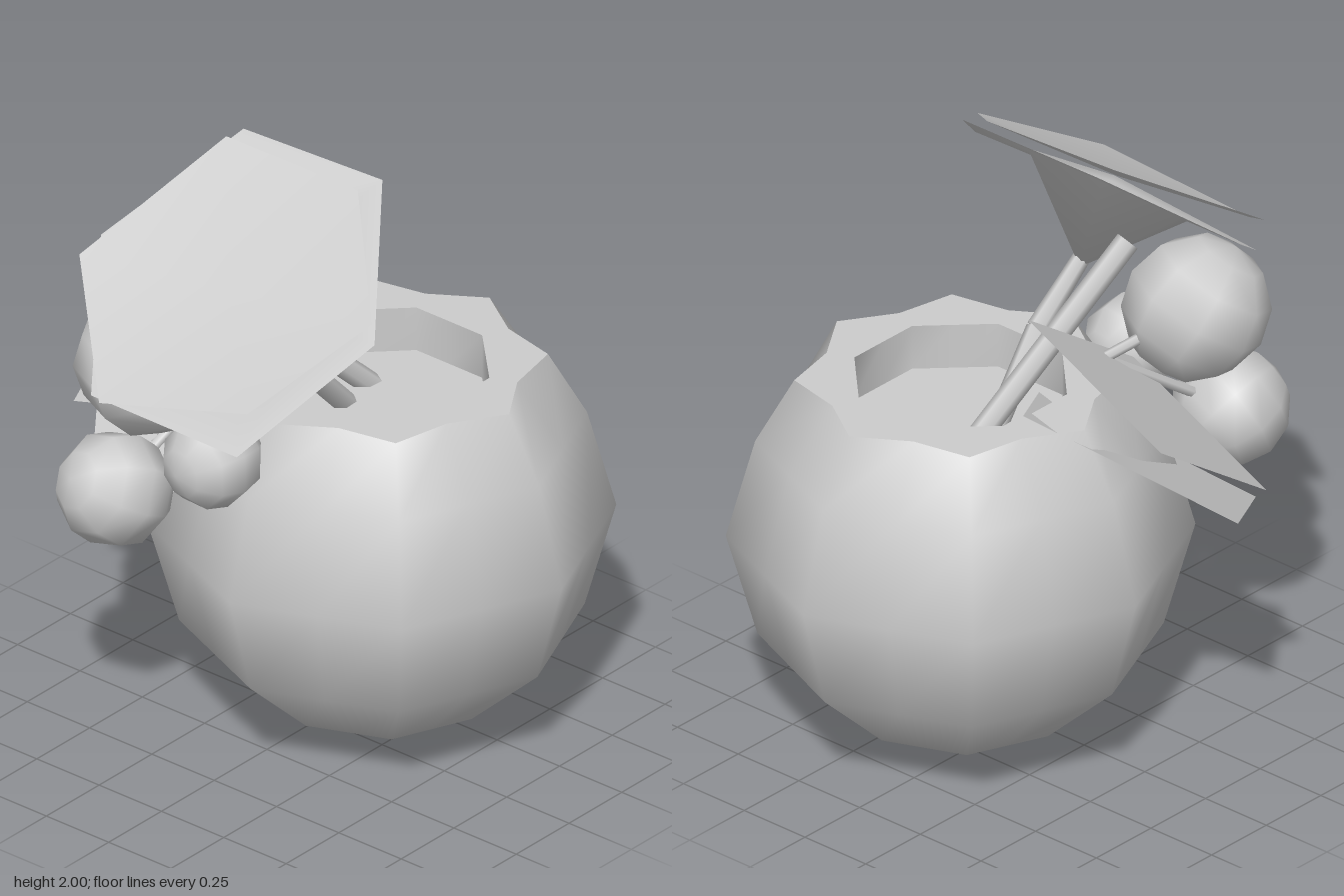
import * as THREE from 'three';
import { mergeVertices } from 'three/addons/utils/BufferGeometryUtils.js';

const V = (x, y, z) => new THREE.Vector3(x, y, z);
const solid = new THREE.MeshStandardMaterial({ color: 0xcccccc });
const thin = new THREE.MeshStandardMaterial({ color: 0xcccccc, side: THREE.DoubleSide });

// Smooth skin through closed rings of equal point count
function loft(rings) {
  const n = rings[0].length, index = [];
  for (let k = 0; k < rings.length - 1; k++) {
    for (let i = 0; i < n; i++) {
      const a = k * n + i, b = k * n + (i + 1) % n;
      index.push(b, a, a + n, b, a + n, b + n);
    }
  }
  let geo = new THREE.BufferGeometry().setFromPoints(rings.flat());
  geo.setIndex(index);
  geo = mergeVertices(geo, 1e-4);
  geo.computeVertexNormals();
  return geo;
}

// Sixteen-point ring around the bowl axis; corner and mid-side radii differ
function bowlRing(y, corner, mid = corner * 0.924) {
  return Array.from({ length: 16 }, (_, i) => {
    const a = i * Math.PI / 8, r = i % 2 ? mid : corner;
    return V(0.11 + r * Math.cos(a), y, -0.165 + r * Math.sin(a));
  });
}

export function createModel() {
  const group = new THREE.Group();
  const add = (name, geo, mat = solid) => {
    const mesh = new THREE.Mesh(geo, mat);
    mesh.name = name;
    group.add(mesh);
    return mesh;
  };
  // Straight rod between two points
  const rod = (name, a, b, r0, r1 = r0) => {
    const mesh = add(name, new THREE.CylinderGeometry(r1, r0, a.distanceTo(b), 6));
    mesh.position.copy(a).lerp(b, 0.5);
    mesh.quaternion.setFromUnitVectors(V(0, 1, 0), b.clone().sub(a).normalize());
  };

  // Round bowl: outer shell, star-edged rim, hollow and drink surface
  const rim = bowlRing(1.23, 0.51, 0.435);
  const lip = bowlRing(1.23, 0.319, 0.345);
  const floor = bowlRing(1.08, 0.319, 0.345);
  add('bowlShell', loft([
    bowlRing(0, 0), bowlRing(0.1, 0.36), bowlRing(0.345, 0.623),
    bowlRing(0.69, 0.72), bowlRing(1.02, 0.63), rim,
  ]));
  add('bowlRim', loft([rim, lip]));
  add('bowlHollow', loft([lip, floor]));
  add('drinkSurface', loft([floor, bowlRing(1.08, 0)]));

  // Cluster of three berries on thin stems
  const node = V(-0.2, 1.28, 0.14);
  const berries = [
    [V(-0.29, 1.355, 0.47), 0.232],
    [V(-0.31, 0.96, 0.605), 0.186],
    [V(-0.015, 1.125, 0.49), 0.158],
  ];
  berries.forEach(([p, r], i) => {
    const berry = add('berry', new THREE.SphereGeometry(r, 8, 6));
    berry.position.copy(p);
    berry.rotation.set(0.5 + i * 0.4, i * 0.6, 0.3);
    rod('berryStem', node, p, 0.018);
  });

  // Two straws leaning forward out of the bowl
  rod('longStraw', V(-0.01, 1.06, -0.26), V(-0.16, 1.61, 0.3), 0.038);
  const bend = V(0.05, 1.3, 0.12), tip = V(0.025, 1.49, 0.3);
  rod('parasolStemLower', V(0.01, 1.06, -0.12), bend, 0.036);
  rod('parasolStemUpper', bend, tip, 0.036, 0.028);

  // Tilted six-sided parasol: flared cone below a shallow sheet
  const under = [
    V(-0.28, 1.99, 0.03), V(0.26, 2.0, 0.01), V(0.55, 1.69, 0.39),
    V(0.37, 1.42, 0.83), V(-0.24, 1.4, 0.8), V(-0.53, 1.69, 0.41),
  ];
  const upper = [
    V(-0.29, 1.99, 0.1), V(0.22, 1.98, 0.08), V(0.54, 1.76, 0.39),
    V(0.37, 1.55, 0.78), V(-0.14, 1.445, 0.88), V(-0.49, 1.7, 0.56),
  ];
  const toward = (ring, c, t) => ring.map(p => p.clone().lerp(c, t));
  const underMid = V(0.02, 1.69, 0.405);
  add('parasolUnderside', loft([
    under, toward(under, underMid, 0.46), toward(under, V(0.02, 1.46, 0.28), 1),
  ]), thin);
  add('parasolTop', loft([upper, toward(upper, V(0.015, 1.71, 0.45), 1)]), thin);

  // Two flat leaves behind the berries, each a parallelogram from three corners
  const leaf = (a, b, d) => {
    const c = b.clone().add(d).sub(a);
    const geo = new THREE.BufferGeometry().setFromPoints([a, d, c, b]);
    geo.setIndex([0, 1, 2, 0, 2, 3]);
    geo.computeVertexNormals();
    add('leaf', geo, thin);
  };
  leaf(V(-0.8, 1.34, -0.26), V(-0.19, 1.55, -0.19), V(-0.75, 0.965, 0.28));
  leaf(V(-0.83, 0.97, 0.06), V(-0.26, 1.28, -0.29), V(-0.49, 0.745, 0.52));

  return group;
}
